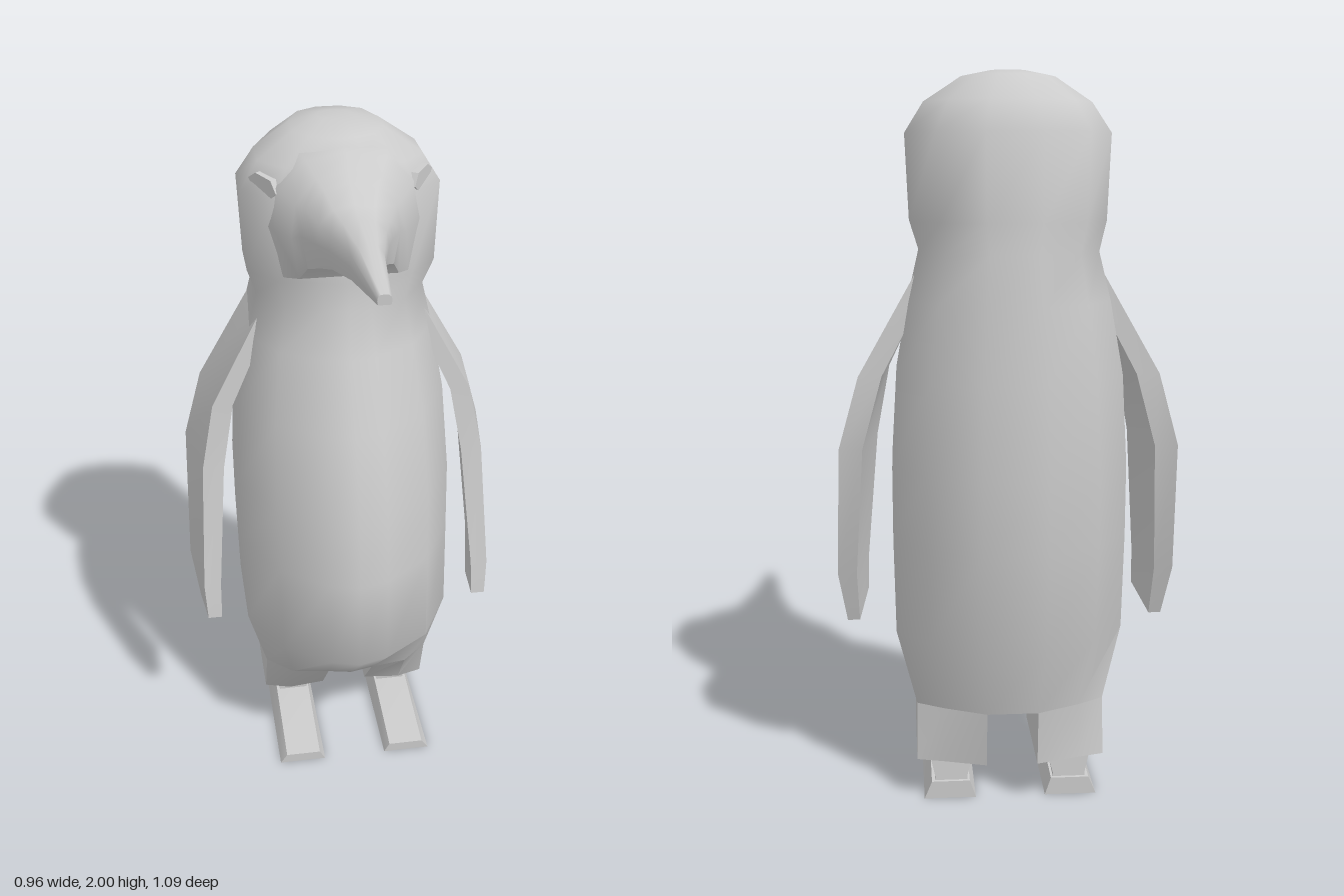
import * as THREE from 'three';
import { toCreasedNormals } from 'three/addons/utils/BufferGeometryUtils.js';

const material = new THREE.MeshStandardMaterial({ color: 0xcccccc });

// Skins a stack of closed rings (counter-clockwise about the loft direction) and caps both ends.
function loft(name, rings, crease = 1.0) {
  const n = rings[0].length, last = rings.length - 1;
  const pos = rings.flat(2), idx = [];
  for (let r = 0; r < last; r++) {
    for (let i = 0; i < n; i++) {
      const j = (i + 1) % n, a = r * n, b = a + n;
      idx.push(a + i, a + j, b + j, a + i, b + j, b + i);
    }
  }
  const cap = (r, flip) => {
    const c = pos.length / 3;
    for (let k = 0; k < 3; k++) pos.push(rings[r].reduce((s, p) => s + p[k], 0) / n);
    for (let i = 0; i < n; i++) {
      const a = r * n + i, b = r * n + (i + 1) % n;
      idx.push(c, flip ? b : a, flip ? a : b);
    }
  };
  cap(0, true);
  cap(last, false);
  const geo = new THREE.BufferGeometry();
  geo.setAttribute('position', new THREE.Float32BufferAttribute(pos, 3));
  geo.setIndex(idx);
  const mesh = new THREE.Mesh(toCreasedNormals(geo, crease), material);
  mesh.name = name;
  return mesh;
}

// Same rings on the other side of x = 0.
const flipX = (rings) => rings.map((r) => r.map(([x, y, z]) => [-x, y, z]).reverse());

// Half of a horizontal slice. vf and vb place the widest corners between back (0) and front (1).
function halfSlice([y, w, front, back, vf, vb]) {
  const outline = [[0.27, 0.97], [0.7, vf / 2 + 0.54], [1, vf], [1, vb], [0.72, 0.11], [0.27, 0]];
  return outline.map(([u, v]) => [u * w, y, back + v * (front - back)]);
}

function slice(spec) {
  const half = halfSlice(spec);
  return [[0, spec[0], spec[2]], ...half, ...half.map(([x, y, z]) => [-x, y, z]).reverse()];
}

// Slice across the beak: flat below, gently ridged on top.
function beakSlice([z, w, bottom, top]) {
  const h = top - bottom;
  const right = [[0.88, 0], [1, 0.4], [0.92, 0.72], [0.55, 0.95]];
  const pts = [...right, [0, 1], ...right.map(([x, y]) => [-x, y]).reverse()];
  return pts.map(([x, y]) => [x * w, bottom + y * h, z]);
}

export function createModel() {
  const group = new THREE.Group();

  // Torso and head: y, half width, front z, back z, front corner, back corner
  const hips = [0.28, 0.26, 0.055, -0.44, 0.79, 0.2];
  group.add(loft('bodyAndHead', [
    hips,
    [0.48, 0.315, 0.26, -0.50, 0.62, 0.25],
    [0.75, 0.32, 0.24, -0.53, 0.6, 0.27],
    [0.95, 0.32, 0.22, -0.54, 0.6, 0.28],
    [1.2, 0.305, 0.14, -0.53, 0.6, 0.29],
    [1.4, 0.27, 0.06, -0.51, 0.63, 0.32],
    [1.53, 0.24, 0.015, -0.50, 0.67, 0.37],
    [1.61, 0.265, 0.01, -0.485, 0.72, 0.43],
    [1.84, 0.275, 0.0, -0.485, 0.73, 0.44],
    [1.92, 0.225, -0.015, -0.435, 0.72, 0.44],
    [1.985, 0.125, -0.08, -0.375, 0.7, 0.4],
    [2.0, 0.05, -0.21, -0.29, 0.7, 0.4],
  ].map(slice)));

  // Face tapering into the beak: z, half width, bottom y, top y
  group.add(loft('beak', [
    [-0.15, 0.24, 1.62, 1.975],
    [-0.03, 0.195, 1.625, 1.965],
    [0.02, 0.155, 1.64, 1.93],
    [0.05, 0.132, 1.68, 1.91],
    [0.11, 0.1, 1.705, 1.872],
    [0.18, 0.078, 1.73, 1.862],
    [0.31, 0.045, 1.755, 1.848],
    [0.55, 0.018, 1.795, 1.822],
  ].map(beakSlice)));

  // Flipper: front y, x inner, x outer, z; then the same for the rear edge
  const flipper = [
    [0.51, 0.398, 0.44, 0.0, 0.47, 0.42, 0.455, -0.175],
    [0.62, 0.395, 0.446, -0.015, 0.62, 0.425, 0.478, -0.22],
    [1.0, 0.362, 0.425, -0.085, 1.0, 0.4, 0.464, -0.32],
    [1.2, 0.325, 0.385, -0.105, 1.2, 0.345, 0.408, -0.325],
    [1.53, 0.17, 0.205, -0.14, 1.53, 0.17, 0.22, -0.31],
  ].map(([yf, fi, fo, zf, yb, bi, bo, zb]) =>
    [[fi, yf, zf], [fo, yf, zf], [bo, yb, zb], [bi, yb, zb]]);

  // Leg: continues the hips down to a boxier hem
  const leg = [[0.12, 0.262, -0.09, -0.415, 0.94, 0.17], hips].map(halfSlice);

  // Ankle: y, inner x, outer x, front z, back z
  const ankle = [
    [0.03, 0.12, 0.215, -0.15, -0.352],
    [0.06, 0.122, 0.212, -0.15, -0.35],
    [0.13, 0.102, 0.228, -0.15, -0.345],
  ].map(([y, xi, xo, zf, zb]) => [[xi, y, zf], [xo, y, zf], [xo, y, zb], [xi, y, zb]]);

  // Foot: z, height
  const foot = [[-0.36, 0.05], [-0.15, 0.06], [0.14, 0.03]].map(([z, h]) =>
    [[0.098, 0, z], [0.243, 0, z], [0.222, h, z], [0.115, h, z]]);

  const pairs = { Flipper: flipper, Leg: leg, Ankle: ankle, Foot: foot };
  for (const [part, rings] of Object.entries(pairs)) {
    group.add(loft('left' + part, rings, 0.7));
    group.add(loft('right' + part, flipX(rings), 0.7));
  }

  // Eyes: small six-sided plates set into the sides of the face
  const eyeOutline = [[-0.055, -0.012], [-0.035, -0.028], [0.03, -0.02],
    [0.055, 0.008], [0.025, 0.028], [-0.035, 0.02]];
  for (const s of [1, -1]) {
    const shape = new THREE.Shape(eyeOutline.map(([x, y]) => new THREE.Vector2(s * x, y)));
    const geo = new THREE.ExtrudeGeometry(shape, { depth: 0.03, bevelEnabled: false });
    geo.translate(0, 0, -0.025);
    const eye = new THREE.Mesh(geo, material);
    eye.name = s > 0 ? 'leftEye' : 'rightEye';
    eye.rotation.y = s * 0.95;
    eye.position.set(s * 0.215, 1.87, -0.085);
    group.add(eye);
  }

  return group;
}
